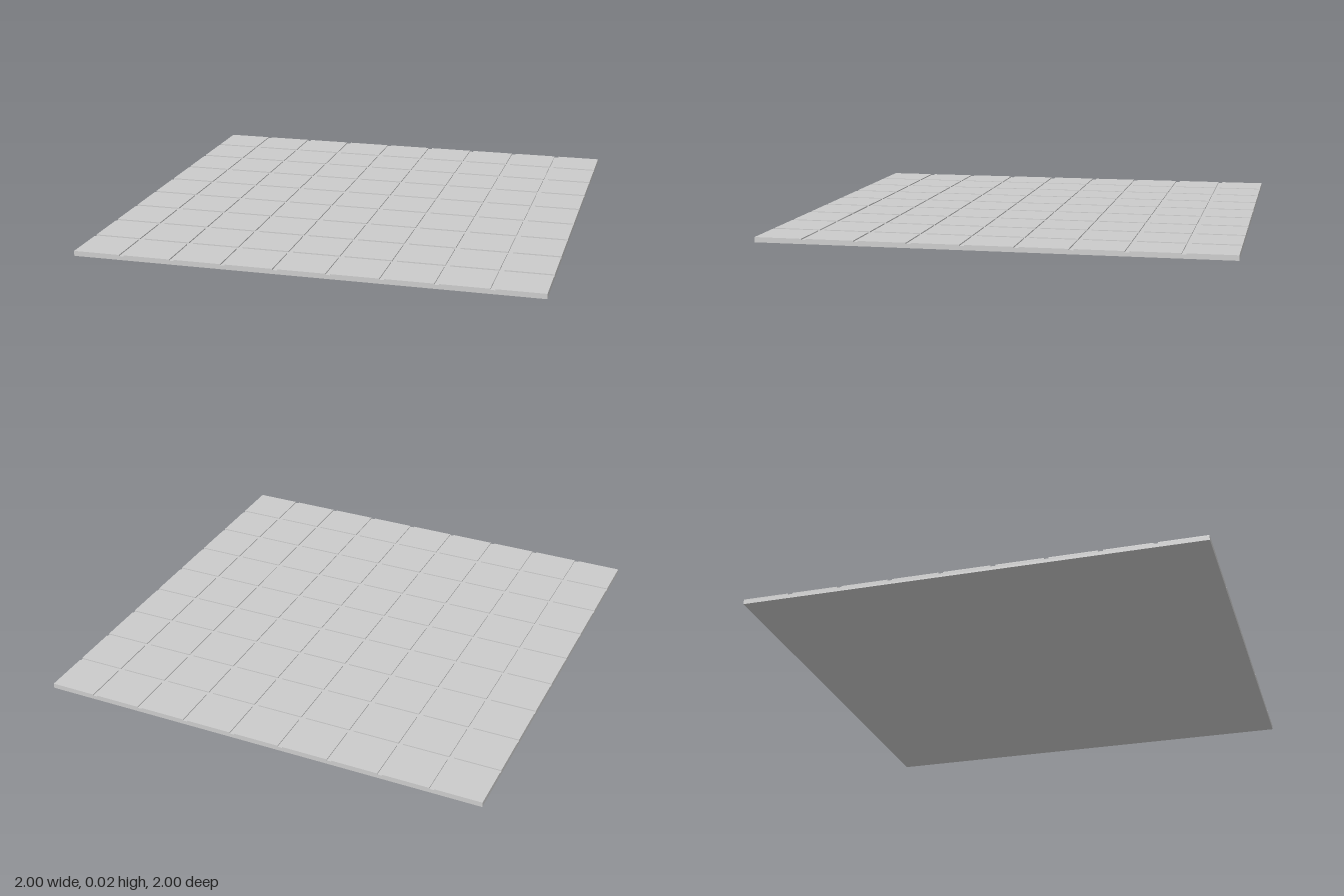
import * as THREE from 'three';

const SIZE = 2, HEIGHT = 0.022, GROOVE_DEPTH = 0.005;
const COUNT = 9, GAP = 0.02;
const TILE = (SIZE - GAP * (COUNT - 1)) / COUNT;

export function createModel() {
  const model = new THREE.Group();
  model.name = 'tiledFloor';
  const material = new THREE.MeshStandardMaterial({ color: 0xcccccc, flatShading: true });

  // base slab, its top forms the floor of the grooves
  const baseHeight = HEIGHT - GROOVE_DEPTH;
  const base = new THREE.Mesh(new THREE.BoxGeometry(SIZE, baseHeight, SIZE), material);
  base.name = 'baseSlab';
  base.position.y = baseHeight / 2;
  model.add(base);

  // square tiles, flush with the slab at the rim
  const tiles = new THREE.Group();
  tiles.name = 'tiles';
  const tileGeometry = new THREE.BoxGeometry(TILE, GROOVE_DEPTH, TILE);
  const place = (i) => -SIZE / 2 + TILE / 2 + i * (TILE + GAP);
  for (let row = 0; row < COUNT; row++) {
    for (let col = 0; col < COUNT; col++) {
      const tile = new THREE.Mesh(tileGeometry, material);
      tile.name = `tile_${row + 1}_${col + 1}`;
      tile.position.set(place(col), baseHeight + GROOVE_DEPTH / 2, place(row));
      tiles.add(tile);
    }
  }
  model.add(tiles);
  return model;
}
